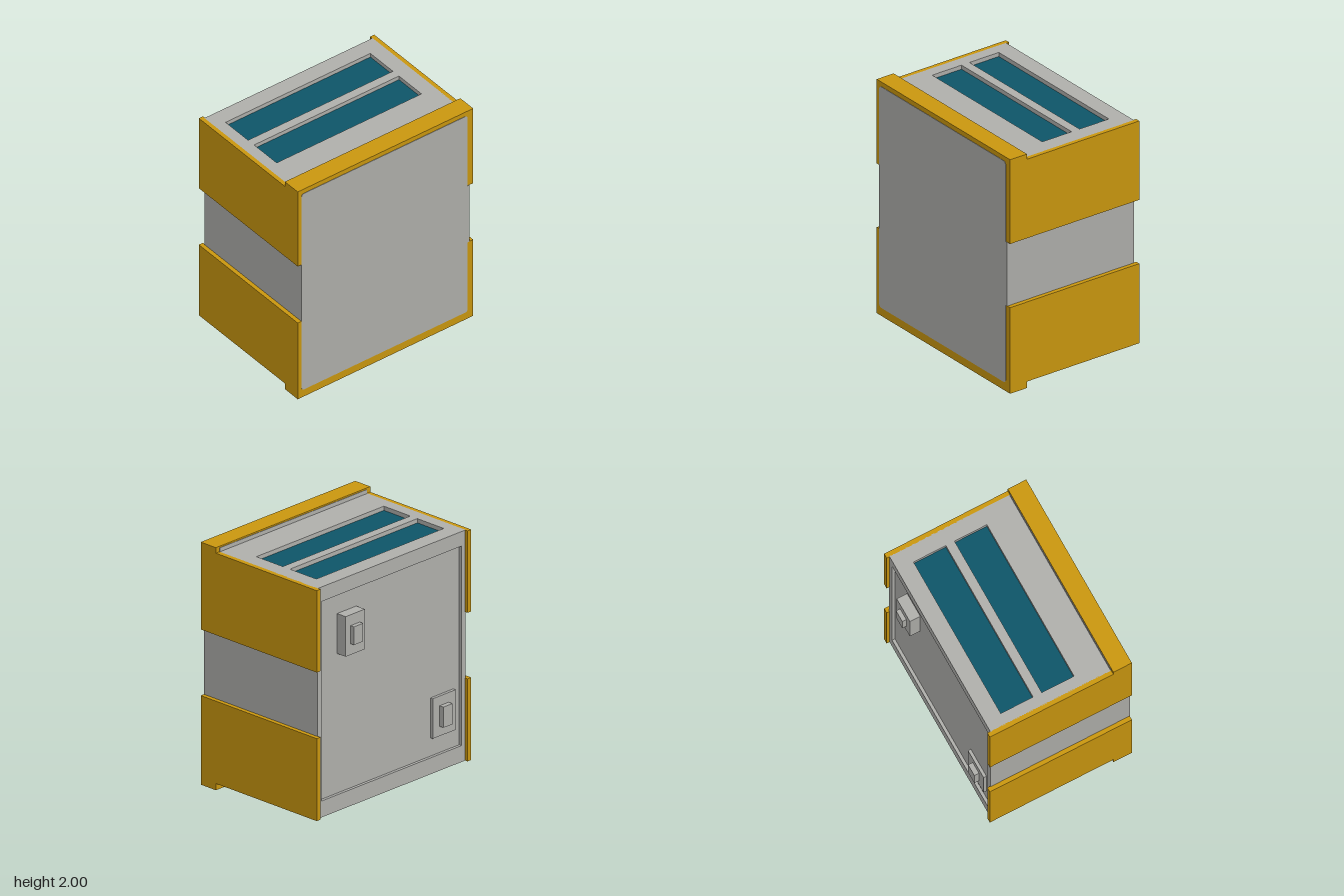
import * as THREE from 'three';

const grey = new THREE.MeshStandardMaterial({ color: 0xafafab });
grey.name = 'casingGrey';
const yellow = new THREE.MeshStandardMaterial({ color: 0xca970f });
yellow.name = 'trimYellow';
const teal = new THREE.MeshStandardMaterial({ color: 0x0d5568 });
teal.name = 'ventTeal';

// Box given by its limits on each axis
function box(parent, name, mat, [x0, x1], [y0, y1], [z0, z1]) {
  const m = new THREE.Mesh(new THREE.BoxGeometry(x1 - x0, y1 - y0, z1 - z0), mat);
  m.position.set((x0 + x1) / 2, (y0 + y1) / 2, (z0 + z1) / 2);
  m.name = name;
  parent.add(m);
  return m;
}

function rectPoints([x0, x1, y0, y1]) {
  return [[x0, y0], [x1, y0], [x1, y1], [x0, y1]].map(([x, y]) => new THREE.Vector2(x, y));
}

// Flat plate with rectangular holes, extruded along +z
function holedPlate(outer, holes, depth) {
  const shape = new THREE.Shape(rectPoints(outer));
  holes.forEach(h => shape.holes.push(new THREE.Path(rectPoints(h).reverse())));
  return new THREE.ExtrudeGeometry(shape, { depth, bevelEnabled: false });
}

function roundedRect([x0, x1, y0, y1], r) {
  const s = new THREE.Shape();
  s.moveTo(x0 + r, y0);
  s.lineTo(x1 - r, y0);
  s.absarc(x1 - r, y0 + r, r, -Math.PI / 2, 0, false);
  s.lineTo(x1, y1 - r);
  s.absarc(x1 - r, y1 - r, r, 0, Math.PI / 2, false);
  s.lineTo(x0 + r, y1);
  s.absarc(x0 + r, y1 - r, r, Math.PI / 2, Math.PI, false);
  s.lineTo(x0, y0 + r);
  s.absarc(x0 + r, y0 + r, r, Math.PI, Math.PI * 1.5, false);
  return s;
}

export function createModel() {
  const model = new THREE.Group();
  model.name = 'cabinet';
  const add = (name, geo, mat) => {
    const m = new THREE.Mesh(geo, mat);
    m.name = name;
    model.add(m);
    return m;
  };

  // Casing core, with top and bottom plates cut by two vents each
  box(model, 'core', grey, [-0.81, 0.81], [0.095, 1.915], [-0.53, 0.645]);
  const vents = [[-0.715, 0.68, -0.415, -0.135], [-0.715, 0.68, -0.06, 0.22]];
  for (const [name, y] of [['topPlate', 1.955], ['bottomPlate', 0.095]]) {
    // Shape y runs along z, extrusion runs downwards
    const geo = holedPlate([-0.81, 0.81, -0.53, 0.645], vents, 0.04).rotateX(Math.PI / 2);
    add(name, geo, grey).position.y = y;
  }
  for (const v of vents) {
    const [x0, x1, z0, z1] = v;
    box(model, 'topVent', teal, [x0, x1], [1.915, 1.92], [z0, z1]);
    box(model, 'bottomVent', teal, [x0, x1], [0.09, 0.095], [z0, z1]);
    // Teal lining of the bottom vents
    const inner = [x0 + 0.006, x1 - 0.006, z0 + 0.006, z1 - 0.006];
    const lining = add('bottomVentLining', holedPlate(v, [inner], 0.04).rotateX(Math.PI / 2), teal);
    lining.position.y = 0.095;
  }

  // Raised frame around the recessed back panel
  add('backFrame', holedPlate([-0.81, 0.81, 0.055, 1.955], [[-0.765, 0.765, 0.19, 1.835]], 0.025), grey)
    .position.z = -0.555;

  // Latch boxes on the back
  box(model, 'upperLatch', grey, [0.36, 0.57], [1.34, 1.67], [-0.62, -0.53]);
  box(model, 'upperLatchButton', grey, [0.415, 0.515], [1.43, 1.58], [-0.655, -0.62]);
  box(model, 'lowerLatch', grey, [-0.7, -0.45], [0.34, 0.67], [-0.555, -0.53]);
  box(model, 'lowerLatchButton', grey, [-0.625, -0.525], [0.42, 0.59], [-0.595, -0.555]);

  // Side guards, in an upper and a lower pair
  for (const s of [-1, 1]) {
    for (const [name, y] of [['lowerGuard', [0.055, 0.735]], ['upperGuard', [1.28, 1.955]]]) {
      const x = s > 0 ? [0.805, 0.845] : [-0.845, -0.805];
      box(model, name, yellow, x, y, [-0.58, 0.65]);
    }
  }

  // Front bars, front trim and panel
  box(model, 'topBar', yellow, [-0.845, 0.845], [1.955, 2], [0.49, 0.65]);
  box(model, 'bottomBar', yellow, [-0.845, 0.845], [0, 0.055], [0.49, 0.65]);
  box(model, 'topBarLip', grey, [-0.805, 0.805], [1.955, 1.988], [0.486, 0.49]);
  box(model, 'upperTrim', yellow, [-0.805, 0.805], [1.28, 1.955], [0.645, 0.65]);
  box(model, 'lowerTrim', yellow, [-0.805, 0.805], [0.055, 0.735], [0.645, 0.65]);
  box(model, 'middleTrim', grey, [-0.81, 0.81], [0.735, 1.28], [0.645, 0.652]);
  const panel = new THREE.ExtrudeGeometry(roundedRect([-0.81, 0.79, 0.07, 1.96], 0.025),
    { depth: 0.006, bevelEnabled: false, curveSegments: 5 });
  add('frontPanel', panel, grey).position.z = 0.647;

  return model;
}
